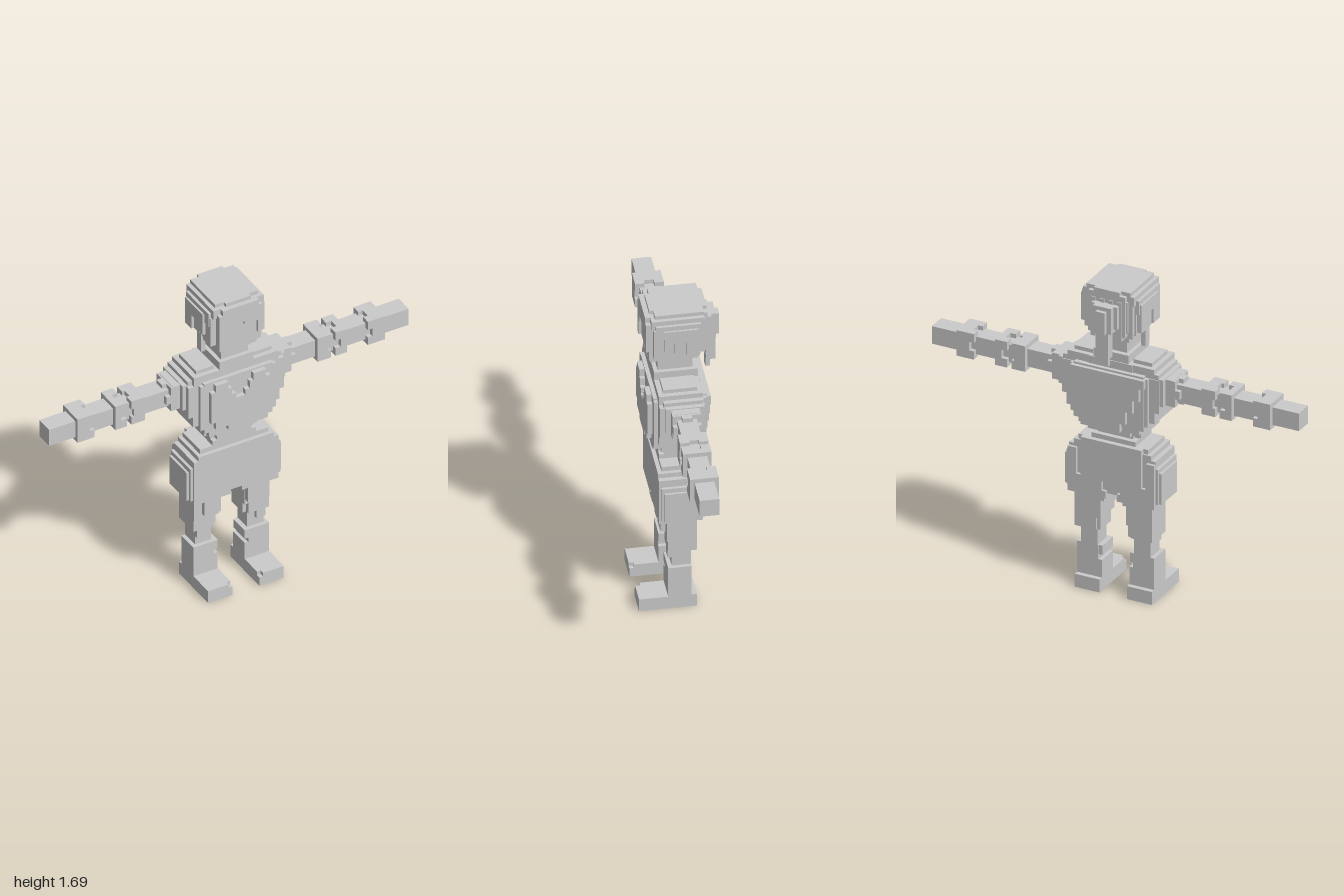
import * as THREE from 'three';
import { mergeGeometries } from 'three/addons/utils/BufferGeometryUtils.js';

const material = new THREE.MeshStandardMaterial({ color: 0xcccccc, flatShading: true });

// One block from its limits
function block([x0, x1, y0, y1, z0, z1]) {
  return new THREE.BoxGeometry(x1 - x0, y1 - y0, z1 - z0)
    .translate((x0 + x1) / 2, (y0 + y1) / 2, (z0 + z1) / 2);
}

// A named part merged from blocks
function part(name, blocks) {
  const mesh = new THREE.Mesh(mergeGeometries(blocks.map(block)), material);
  mesh.name = name;
  return mesh;
}

// Blocks centred on x, given as [halfWidth, y0, y1, z0, z1]
const centred = rows => rows.map(([w, ...rest]) => [-w, w, ...rest]);

// The same blocks on both sides
const mirror = blocks => blocks.flatMap(b => [b, [-b[1], -b[0], ...b.slice(2)]]);

// Left and right copies of a limb
function pair(group, name, blocks) {
  group.add(part('left' + name, blocks));
  group.add(part('right' + name, blocks.map(b => [-b[1], -b[0], ...b.slice(2)])));
}

export function createModel() {
  const model = new THREE.Group();
  model.name = 'blockFigure';

  // Head
  model.add(part('head', centred([
    [0.10, 1.405, 1.45, -0.095, 0.14],
    [0.12, 1.43, 1.60, -0.10, 0.15],
    [0.14, 1.455, 1.60, -0.10, 0.12],
    [0.075, 1.385, 1.42, -0.07, 0.12],
  ])));
  model.add(part('ears', mirror([
    [0.14, 0.155, 1.48, 1.55, -0.02, 0.03],
  ])));

  // Hair: cap, fringe and side locks
  model.add(part('hairCap', centred([
    [0.12, 1.66, 1.69, -0.12, 0.12],
    [0.07, 1.66, 1.69, -0.14, 0.14],
    [0.14, 1.62, 1.67, -0.12, 0.14],
    [0.155, 1.57, 1.645, -0.10, 0.12],
    [0.10, 1.45, 1.67, -0.14, -0.09],
    [0.13, 1.46, 1.64, -0.12, -0.05],
  ])));
  model.add(part('fringe', [
    ...centred([[0.10, 1.60, 1.67, 0.1, 0.165], [0.12, 1.57, 1.64, 0.1, 0.165]]),
    [-0.12, -0.07, 1.53, 1.58, 0.1, 0.165],
    [-0.12, -0.095, 1.435, 1.54, 0.1, 0.165],
    [0.02, 0.12, 1.55, 1.58, 0.1, 0.165],
    [0.095, 0.12, 1.48, 1.56, 0.1, 0.165],
  ]));
  model.add(part('sideHair', [
    ...mirror([
      [0.12, 0.165, 1.47, 1.62, -0.09, -0.03],
      [0.12, 0.165, 1.55, 1.62, -0.04, 0.08],
      [0.12, 0.165, 1.50, 1.60, 0.035, 0.08],
      [0.11, 0.15, 1.455, 1.62, 0.06, 0.13],
    ]),
    [-0.145, -0.12, 1.36, 1.48, -0.01, 0.03],
  ]));

  // Back strands of uneven length
  const strands = [];
  for (let i = -4; i <= 4; i++) {
    const x = i * 0.024;
    const bottom = 1.43 + (Math.abs(i * 5) % 3) * 0.022;
    strands.push([x - 0.012, x + 0.012, bottom, 1.64, -0.13 - (i % 2 ? 0.015 : 0), -0.08]);
  }
  model.add(part('backStrands', strands));
  model.add(part('ponytail', centred([
    [0.07, 1.50, 1.62, -0.165, -0.13],
    [0.05, 1.48, 1.62, -0.19, -0.13],
    [0.025, 1.48, 1.60, -0.21, -0.13],
    [0.035, 1.34, 1.50, -0.19, -0.145],
    [0.02, 1.29, 1.36, -0.165, -0.143],
  ])));

  // Neck and collar
  model.add(part('neck', centred([
    [0.075, 1.28, 1.41, -0.07, 0.10],
    [0.095, 1.27, 1.335, -0.095, 0.12],
  ])));

  // Torso: nested layers stepping out to the shoulders
  model.add(part('torso', centred([
    [0.165, 0.93, 1.24, -0.115, 0.14],
    [0.19, 0.955, 1.25, -0.12, 0.14],
    [0.21, 0.98, 1.24, -0.115, 0.14],
    [0.24, 1.00, 1.24, -0.10, 0.12],
    [0.265, 1.06, 1.24, -0.10, 0.12],
    [0.285, 1.10, 1.22, -0.095, 0.095],
    [0.115, 0.905, 0.95, -0.115, 0.12],
    [0.165, 0.905, 0.95, -0.095, 0.095],
    [0.12, 1.22, 1.29, -0.10, 0.12],
  ])));
  model.add(part('shoulders', mirror([
    [0.11, 0.21, 1.22, 1.31, -0.07, 0.095],
    [0.10, 0.235, 1.22, 1.29, -0.095, 0.12],
    [0.12, 0.26, 1.22, 1.265, -0.095, 0.10],
    [0.12, 0.285, 1.20, 1.245, -0.095, 0.095],
    [0.26, 0.325, 1.10, 1.24, -0.07, 0.07],
  ])));

  // Chest plate with a stepped notch, and a tapering back plate
  model.add(part('chestPlate', [
    ...centred([
      [0.165, 1.02, 1.13, 0.1, 0.165],
      [0.14, 0.98, 1.03, 0.1, 0.165],
      [0.07, 0.955, 1.0, 0.1, 0.165],
    ]),
    ...mirror([
      [0.025, 0.165, 1.12, 1.16, 0.1, 0.165],
      [0.05, 0.165, 1.15, 1.20, 0.1, 0.165],
      [0.07, 0.14, 1.19, 1.24, 0.1, 0.165],
    ]),
  ]));
  model.add(part('backPlate', centred([
    [0.20, 1.19, 1.24, -0.14, -0.1],
    [0.175, 1.12, 1.20, -0.14, -0.1],
    [0.14, 1.05, 1.13, -0.14, -0.1],
    [0.10, 0.98, 1.06, -0.14, -0.1],
    [0.07, 0.93, 0.99, -0.14, -0.1],
  ])));

  // Waist and hips
  model.add(part('waist', centred([
    [0.095, 0.82, 0.94, -0.045, 0.10],
    [0.12, 0.82, 0.93, -0.025, 0.075],
    [0.12, 0.82, 0.86, -0.07, 0.10],
  ])));
  model.add(part('hips', centred([
    [0.19, 0.555, 0.835, -0.07, 0.10],
    [0.165, 0.79, 0.835, -0.095, 0.10],
    [0.21, 0.555, 0.81, -0.08, 0.12],
    [0.235, 0.555, 0.785, -0.08, 0.12],
    [0.25, 0.555, 0.745, -0.08, 0.11],
    [0.262, 0.555, 0.72, -0.07, 0.095],
    [0.165, 0.62, 0.80, -0.095, -0.06],
  ])));
  model.add(part('hipBase', mirror([
    [0.03, 0.235, 0.53, 0.57, -0.095, 0.12],
    [0.05, 0.235, 0.53, 0.63, -0.095, 0.0],
    [0.19, 0.235, 0.55, 0.77, -0.095, 0.0],
  ])));

  // Legs with stepped hems, and boots
  pair(model, 'Leg', [
    [0.05, 0.20, 0.50, 0.54, -0.07, 0.08],
    [0.07, 0.21, 0.40, 0.54, -0.07, 0.075],
    [0.075, 0.165, 0.43, 0.54, 0, 0.10],
    [0.095, 0.21, 0.335, 0.42, -0.07, 0.07],
    [0.075, 0.19, 0.335, 0.40, -0.06, 0.05],
    [0.10, 0.19, 0.22, 0.35, -0.045, 0.05],
    [0.14, 0.19, 0.29, 0.35, 0, 0.07],
  ]);
  pair(model, 'Boot', [
    [0.095, 0.21, 0.05, 0.24, -0.045, 0.07],
    [0.075, 0.21, 0.05, 0.165, -0.045, 0.07],
    [0.075, 0.19, 0.19, 0.24, -0.04, 0.07],
    [0.075, 0.21, 0, 0.07, -0.07, 0.19],
    [0.095, 0.21, 0, 0.07, 0.18, 0.213],
    [0.075, 0.19, 0, 0.05, 0.18, 0.213],
  ]);

  // Arms with raised sleeve, elbow and wrist bands
  pair(model, 'Arm', [[0.25, 1.0, 1.12, 1.215, -0.048, 0.048]]);
  const ring = (x0, x1) => [[x0, x1, 1.10, 1.238, -0.07, 0.07]];
  const ridges = (x0, x1) => [
    [x0, x1, 1.10, 1.238, -0.025, 0.025],
    [x0, x1, 1.145, 1.19, -0.07, 0.07],
  ];
  const corners = (x0, x1) => [-1, 1].flatMap(s => [
    [x0, x1, 1.10, 1.145, s * 0.047 - 0.023, s * 0.047 + 0.023],
    [x0, x1, 1.19, 1.238, s * 0.047 - 0.023, s * 0.047 + 0.023],
  ]);
  pair(model, 'Sleeve', [...ring(0.28, 0.335), ...ridges(0.33, 0.36)]);
  pair(model, 'ElbowBand', [...ring(0.48, 0.53), ...corners(0.525, 0.555), ...ridges(0.53, 0.54),
    ...corners(0.58, 0.615), ...ring(0.61, 0.645)]);
  pair(model, 'WristBand', [...ridges(0.785, 0.80), ...corners(0.76, 0.80), ...ring(0.795, 0.855)]);

  return model;
}
